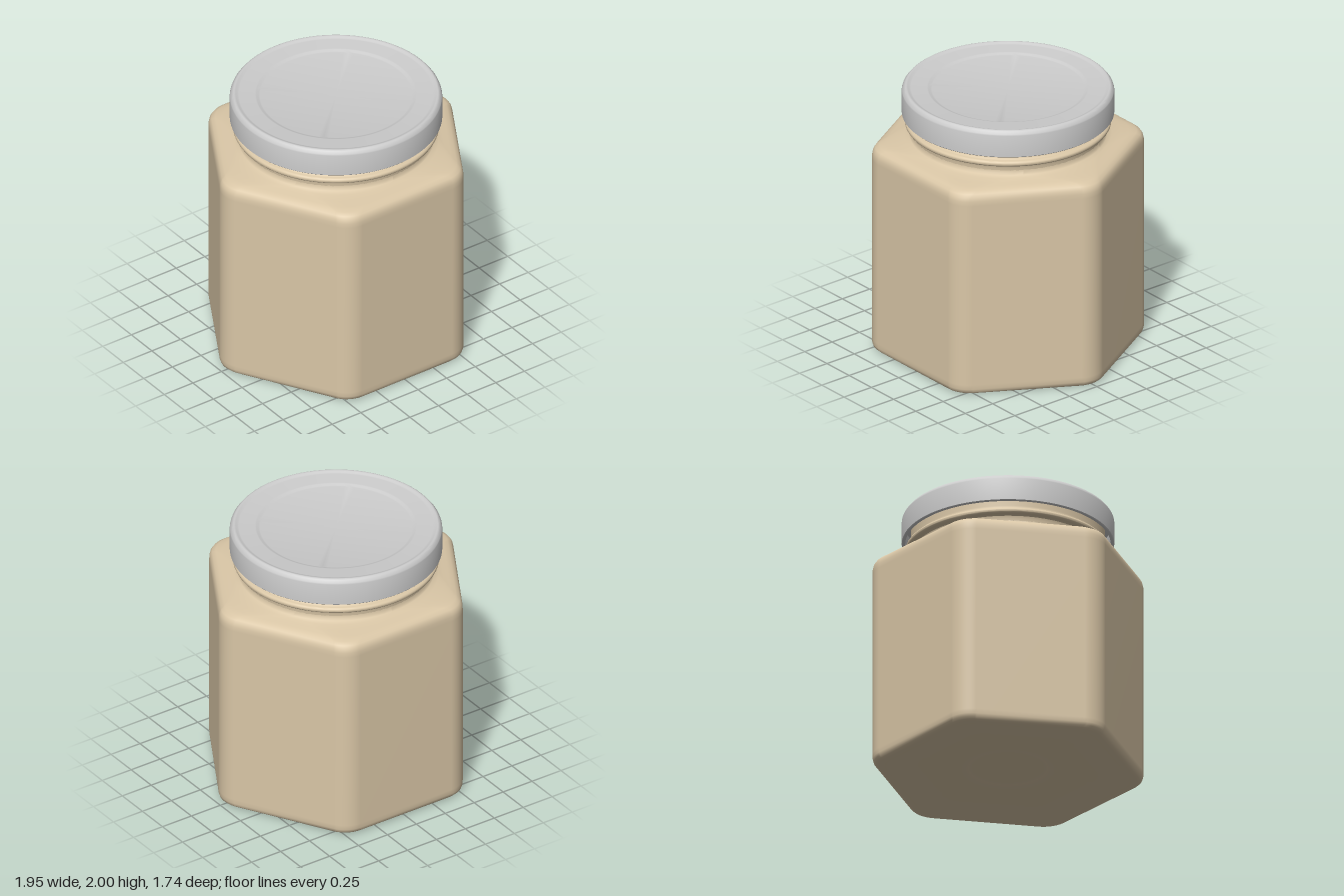
import * as THREE from 'three';
import { toCreasedNormals } from 'three/addons/utils/BufferGeometryUtils.js';

// Hexagon with apothem a and corner radius r at height y (r = a gives a circle)
function hexRing(a, r, y, arcSteps) {
  const ring = [];
  const reach = (a - r) / Math.cos(Math.PI / 6);
  for (let k = 0; k < 6; k++) {
    const corner = (k * Math.PI) / 3;
    for (let s = 0; s <= arcSteps; s++) {
      const t = corner + (s / arcSteps - 0.5) * (Math.PI / 3);
      ring.push(
        reach * Math.cos(corner) + r * Math.cos(t),
        y,
        reach * Math.sin(corner) + r * Math.sin(t)
      );
    }
  }
  return ring;
}

// Skin a list of [apothem, cornerRadius, height] sections
function loftHex(sections, arcSteps = 12) {
  const n = 6 * (arcSteps + 1);
  const positions = sections.flatMap(([a, r, y]) => hexRing(a, r, y, arcSteps));
  const index = [];
  for (let j = 0; j < sections.length - 1; j++) {
    for (let i = 0; i < n; i++) {
      const p = j * n + i;
      const q = j * n + ((i + 1) % n);
      index.push(p, p + n, q, q, p + n, q + n);
    }
  }
  const geo = new THREE.BufferGeometry();
  geo.setAttribute('position', new THREE.Float32BufferAttribute(positions, 3));
  geo.setIndex(index);
  geo.computeVertexNormals();
  return geo;
}

function lathe(points, segments = 96) {
  const geo = new THREE.LatheGeometry(points.map(([x, y]) => new THREE.Vector2(x, y)), segments);
  return toCreasedNormals(geo, 0.6);
}

export function createModel() {
  const group = new THREE.Group();
  const tan = new THREE.MeshStandardMaterial({ color: 0xdac7a7 });
  const grey = new THREE.MeshStandardMaterial({ color: 0xcccccc });
  const add = (name, geometry, material) => {
    const mesh = new THREE.Mesh(geometry, material);
    mesh.name = name;
    group.add(mesh);
  };

  // Hexagonal jar: dimpled base, straight walls, shoulder blending into a round neck
  add('jarBody', loftHex([
    [0, 0, 0.05], [0.26, 0.26, 0.05], [0.28, 0.28, 0.046], [0.3, 0.3, 0.036],
    [0.33, 0.32, 0.034], [0.58, 0.19, 0.03], [0.64, 0.19, 0.022], [0.74, 0.19, 0.004],
    [0.79, 0.19, 0], [0.825, 0.19, 0.001], [0.848, 0.19, 0.008], [0.862, 0.19, 0.022],
    [0.869, 0.19, 0.045], [0.87, 0.19, 0.08],
    [0.87, 0.19, 1.49], [0.869, 0.19, 1.525], [0.863, 0.19, 1.553], [0.85, 0.19, 1.575],
    [0.825, 0.205, 1.592], [0.79, 0.29, 1.602], [0.755, 0.43, 1.61], [0.722, 0.61, 1.62],
    [0.703, 0.695, 1.631], [0.693, 0.693, 1.645], [0.69, 0.69, 1.665],
  ]), tan);

  // Round neck with its bead, closed at the mouth
  const neck = [[0.69, 1.64], [0.69, 1.68], [0.695, 1.698], [0.708, 1.706]];
  for (let i = 0; i <= 10; i++) {
    const t = -Math.PI / 2 + (i / 10) * Math.PI;
    neck.push([0.712 + 0.022 * Math.cos(t), 1.729 + 0.022 * Math.sin(t)]);
  }
  neck.push([0.698, 1.756], [0.691, 1.765], [0.69, 1.78], [0.69, 1.92], [0.68, 1.93], [0, 1.93]);
  add('neck', lathe(neck), tan);

  // Hollow screw lid with a chamfered rim and a shallow stepped top
  add('lid', lathe([
    [0, 1.945], [0.73, 1.945], [0.73, 1.797], [0.75, 1.795], [0.755, 1.8],
    [0.755, 1.965], [0.752, 1.975], [0.738, 1.993], [0.73, 1.999], [0.722, 2],
    [0.712, 1.997], [0.7, 1.99], [0.69, 1.988], [0.575, 1.988], [0.565, 1.986],
    [0.55, 1.978], [0.54, 1.976], [0, 1.976],
  ]), grey);

  return group;
}
